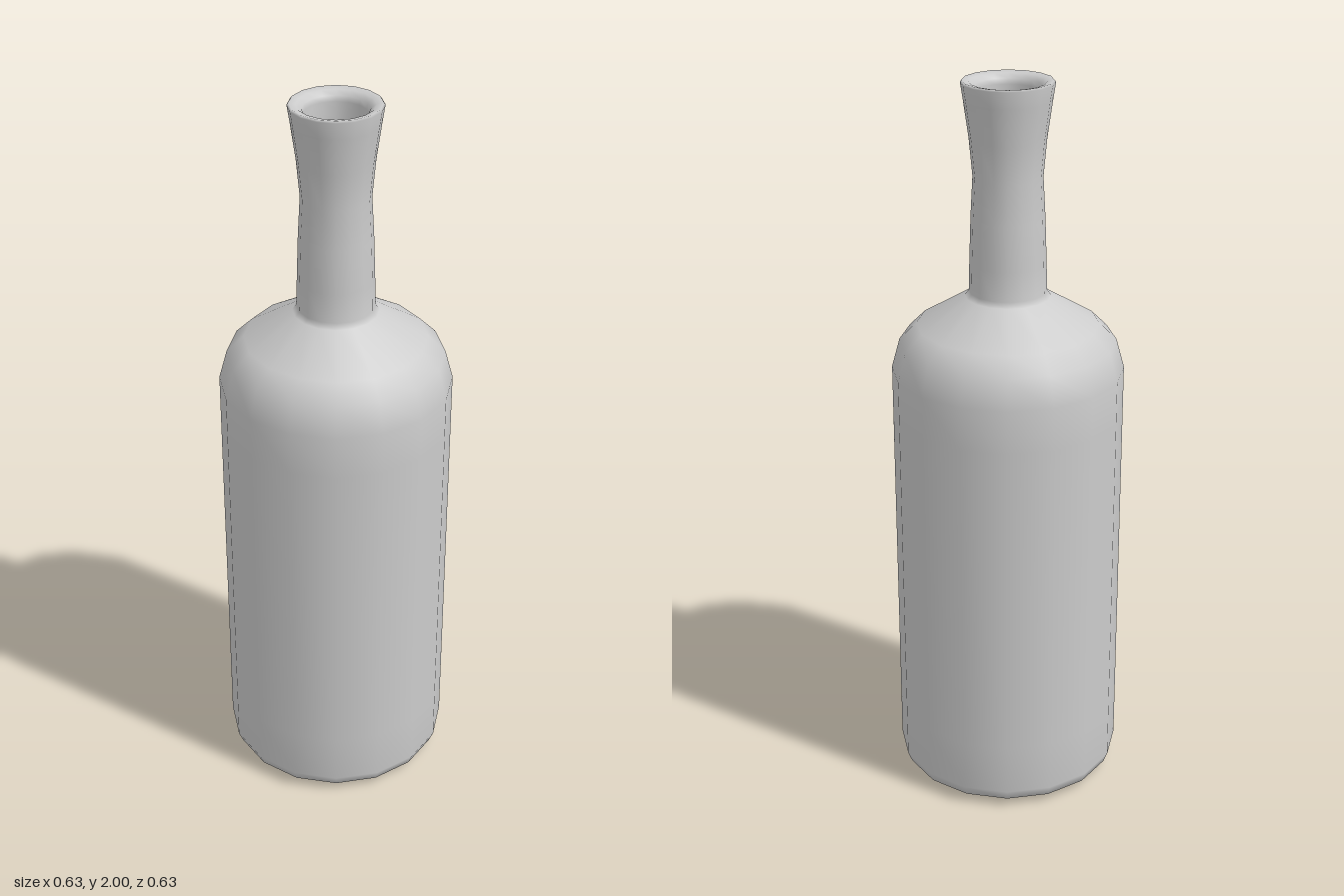
import * as THREE from 'three';

const SIDES = 16;

// Revolve a list of [radius, height] points into a smooth 16-sided surface
function revolve(name, profile) {
  const points = profile.map(([r, y]) => new THREE.Vector2(r, y));
  const material = new THREE.MeshStandardMaterial({ color: 0xcccccc, side: THREE.DoubleSide });
  const mesh = new THREE.Mesh(new THREE.LatheGeometry(points, SIDES), material);
  mesh.name = name;
  return mesh;
}

export function createModel() {
  const bottle = new THREE.Group();
  bottle.name = 'bottle';

  // Glass wall: from the pinhole in the base, up the outside, over the lip and down the inside
  bottle.add(revolve('bottleWall', [
    // base
    [0.012, 0], [0.05, 0.004], [0.278, 0.011], [0.302, 0.025], [0.314, 0.055],
    // body
    [0.314, 0.2], [0.314, 1.1], [0.314, 1.22],
    // shoulder
    [0.292, 1.3], [0.245, 1.347], [0.115, 1.426],
    // neck
    [0.104, 1.44], [0.102, 1.52], [0.098, 1.64], [0.092, 1.75], [0.101, 1.85], [0.115, 1.95],
    // lip
    [0.122, 1.995], [0.118, 2], [0.1, 1.996], [0.086, 1.985], [0.083, 1.97],
    // inside of the neck
    [0.083, 1.9], [0.083, 1.75], [0.086, 1.6], [0.088, 1.42],
    // inside of the shoulder and body
    [0.23, 1.33], [0.275, 1.285], [0.295, 1.21], [0.295, 0.065], [0.265, 0.032],
    // inside floor and the pinhole
    [0.009, 0.022], [0.012, 0],
  ]));

  return bottle;
}
